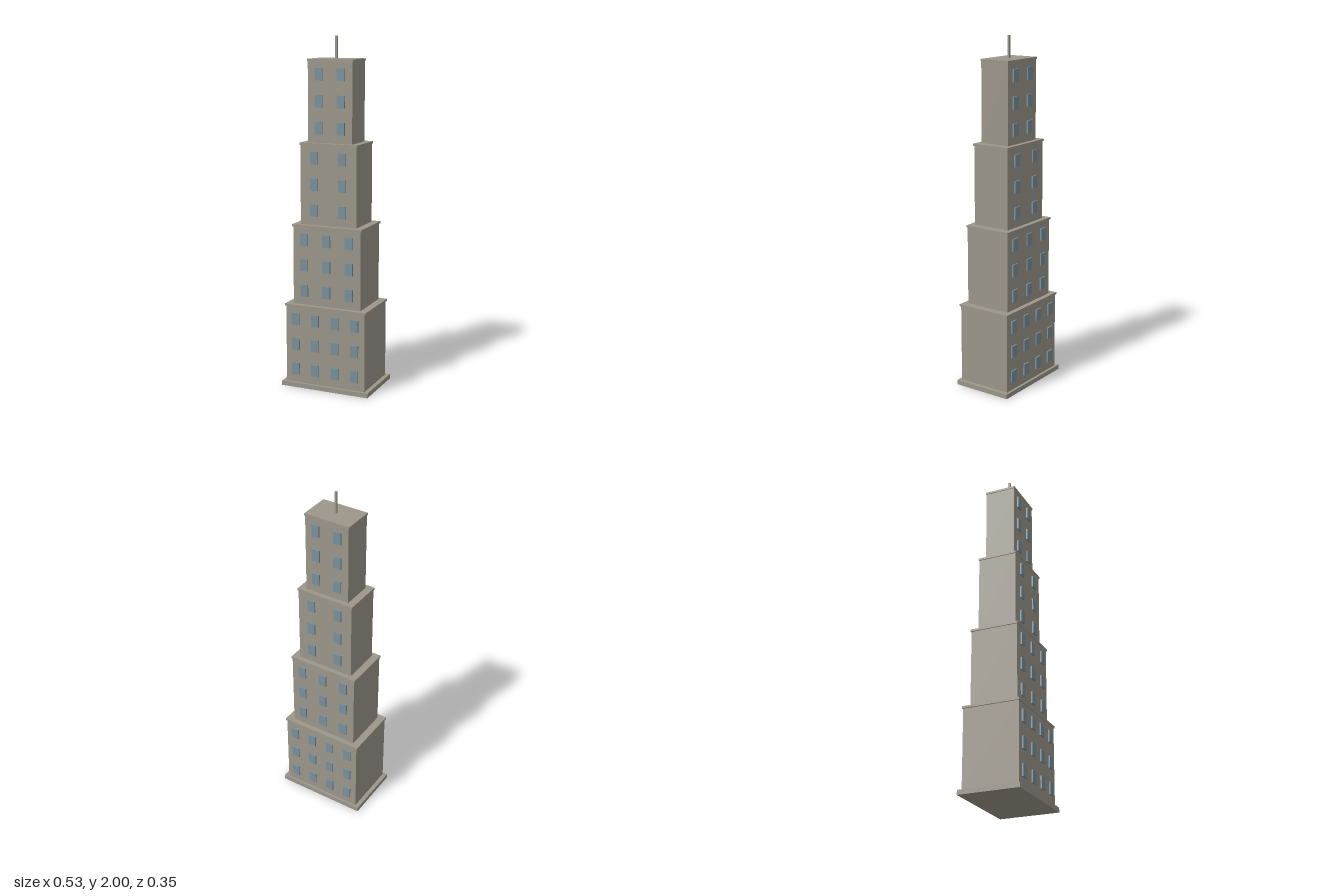
import * as THREE from 'three';

export function createModel() {
  const model = new THREE.Group();
  model.name = 'steppedTower';

  const stone = new THREE.MeshStandardMaterial({ color: 0x9c968a });
  stone.name = 'stone';
  const glass = new THREE.MeshStandardMaterial({ color: 0x78909c });
  glass.name = 'glass';

  // Box standing on height y
  function addBox(parent, name, material, w, h, d, x, y, z) {
    const mesh = new THREE.Mesh(new THREE.BoxGeometry(w, h, d), material);
    mesh.name = name;
    mesh.position.set(x, y + h / 2, z);
    parent.add(mesh);
  }

  // Plinth
  const plinthHeight = 0.027;
  addBox(model, 'plinth', stone, 0.534, plinthHeight, 0.353, 0, 0, 0);

  // Four shrinking tiers, each capped by a thin ledge
  const wallHeight = 0.45, ledgeHeight = 0.0122, ledgeScale = 1.03;
  const rows = 3, rowPitch = 0.148, firstRow = 0.083;
  const winW = 0.046, winH = 0.07, winDepth = 0.009;
  const tiers = [
    { width: 0.485, depth: 0.323, columns: 4 },
    { width: 0.4125, depth: 0.275, columns: 3 },
    { width: 0.34, depth: 0.2265, columns: 2 },
    { width: 0.267, depth: 0.178, columns: 2 },
  ];

  let y = plinthHeight;
  tiers.forEach(({ width, depth, columns }, i) => {
    const tier = new THREE.Group();
    tier.name = `tier${i + 1}`;
    tier.position.y = y;
    model.add(tier);

    addBox(tier, 'wall', stone, width, wallHeight, depth, 0, 0, 0);
    addBox(tier, 'ledge', stone, width * ledgeScale, ledgeHeight, depth * ledgeScale, 0, wallHeight, 0);

    // Windows on the front and back only
    for (const side of [1, -1]) {
      for (let r = 0; r < rows; r++) {
        for (let c = 0; c < columns; c++) {
          const x = (c - (columns - 1) / 2) * (width / columns);
          const bottom = firstRow + r * rowPitch - winH / 2;
          addBox(tier, 'window', glass, winW, winH, winDepth, x, bottom, side * (depth + winDepth) / 2);
        }
      }
    }
    y += wallHeight + ledgeHeight;
  });

  // Roof mast
  addBox(model, 'mast', stone, 0.0125, 2 - y, 0.0125, 0, y, 0);

  return model;
}
